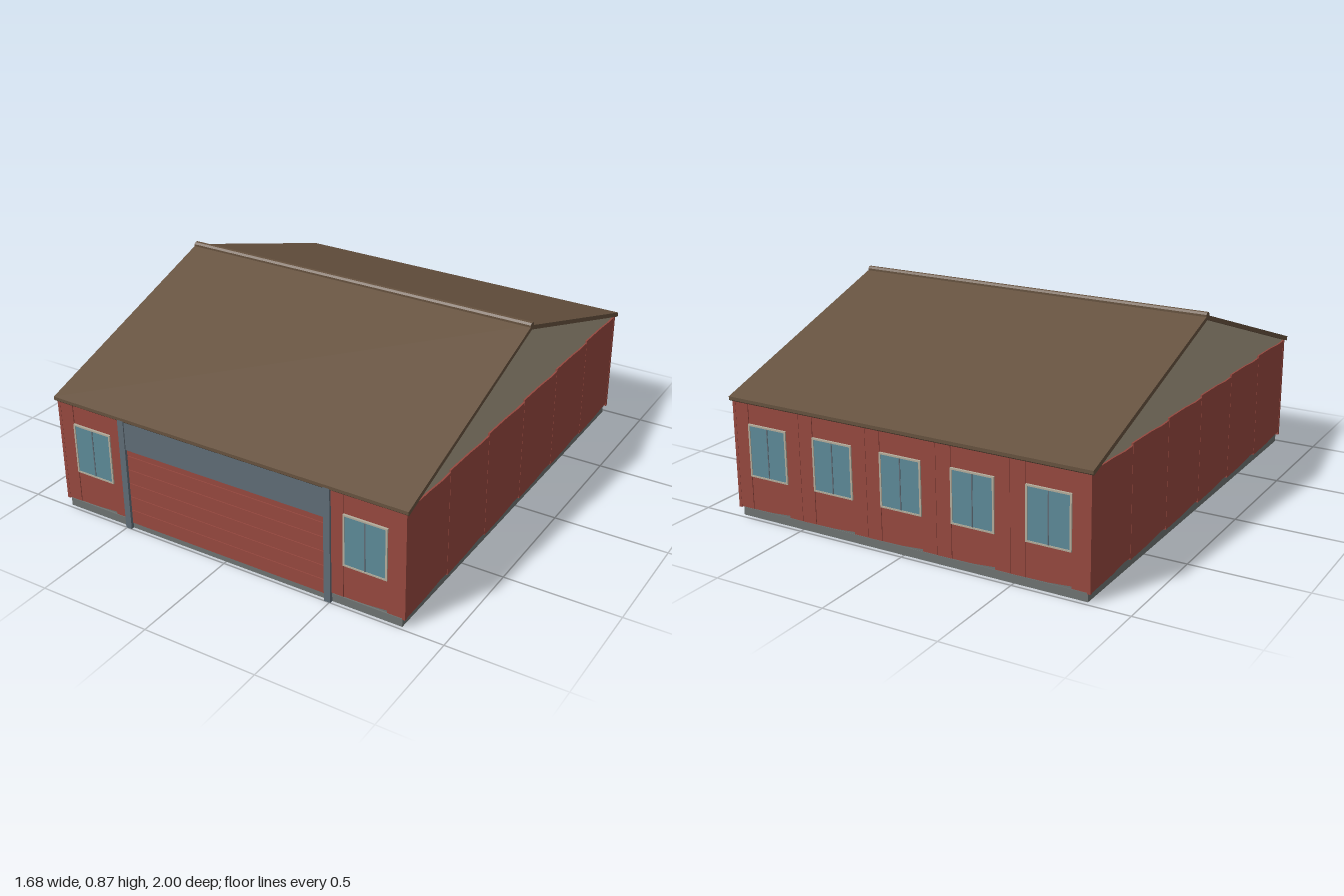
import * as THREE from 'three';

const material = (color) => new THREE.MeshStandardMaterial({ color, flatShading: true, side: THREE.DoubleSide });
const red = material(0x96483f);
const brown = material(0x66523f);
const beige = material(0xa89c84);
const grey = material(0x6e7371);
const slate = material(0x5f6c76);
const blue = material(0x5d8a98);
const cream = material(0xb4ad9c);

function add(parent, name, geometry, mat, x = 0, y = 0, z = 0) {
  const mesh = new THREE.Mesh(geometry, mat);
  mesh.name = name;
  mesh.position.set(x, y, z);
  parent.add(mesh);
  return mesh;
}

// Box given by its limits on each axis
function box(parent, name, mat, x0, x1, y0, y1, z0, z1) {
  const geometry = new THREE.BoxGeometry(x1 - x0, y1 - y0, z1 - z0);
  return add(parent, name, geometry, mat, (x0 + x1) / 2, (y0 + y1) / 2, (z0 + z1) / 2);
}

function shapeOf(points) {
  return new THREE.Shape(points.map(([x, y]) => new THREE.Vector2(x, y)));
}

// Extrude a (z, y) profile along x, centred on x = 0
function alongX(points, length) {
  return new THREE.ExtrudeGeometry(shapeOf(points), { depth: length, bevelEnabled: false })
    .translate(0, 0, -length / 2)
    .rotateY(Math.PI / 2);
}

// Cladding sheet with slightly uneven top and bottom edges, facing +z
function claddingPanel(parent, x, z, width, depth) {
  const h = width / 2 - 0.001;
  const points = [
    [-h, 0.04], [0, 0.043], [h * 0.7, 0.052], [h, 0.05],
    [h, 0.508], [h * 0.6, 0.507], [0, 0.514], [-h, 0.518],
  ];
  const geometry = new THREE.ExtrudeGeometry(shapeOf(points), { depth, bevelEnabled: false });
  return add(parent, 'wallPanel', geometry, red, x, 0, z);
}

// Two-pane window facing +z
function makeWindow(parent, x, z) {
  const g = new THREE.Group();
  g.name = 'window';
  g.position.set(x, 0, z);
  parent.add(g);
  for (const s of [-1, 1]) {
    box(g, 'windowJamb', cream, s * 0.0925 - 0.004, s * 0.0925 + 0.004, 0.19, 0.42, -0.004, 0.006);
    box(g, 'windowPane', blue, s * 0.0455 - 0.043, s * 0.0455 + 0.043, 0.197, 0.413, -0.004, 0.003);
  }
  box(g, 'windowSill', cream, -0.0965, 0.0965, 0.19, 0.197, -0.004, 0.006);
  box(g, 'windowHead', cream, -0.0965, 0.0965, 0.413, 0.42, -0.004, 0.006);
  box(g, 'windowMullion', slate, -0.0025, 0.0025, 0.197, 0.413, -0.004, 0.005);
}

// One bay of the front or back wall
function windowBay(parent, x) {
  claddingPanel(parent, x, 0.976, 0.33, 0.01);
  for (const s of [-1, 1]) {
    box(parent, 'wallStrip', red, x + s * 0.13 - 0.033, x + s * 0.13 + 0.033, 0.043, 0.507, 0.976, 0.99);
  }
  makeWindow(parent, x, 0.989);
}

export function createModel() {
  const model = new THREE.Group();
  model.name = 'garage';

  // Slab and wall core
  box(model, 'foundation', grey, -0.815, 0.815, 0, 0.036, -0.98, 0.985);
  box(model, 'wallBase', grey, -0.819, 0.819, 0.034, 0.1, -0.978, 0.978);
  box(model, 'wallCore', cream, -0.819, 0.819, 0.1, 0.515, -0.978, 0.978);

  // Gable prism under the roof
  add(model, 'gables', alongX([[-0.985, 0.505], [0.985, 0.505], [0.985, 0.515], [0, 0.848], [-0.985, 0.515]], 1.643), beige);

  // Side walls, six panels each
  for (const s of [-1, 1]) {
    const wall = new THREE.Group();
    wall.name = s > 0 ? 'leftWall' : 'rightWall';
    wall.rotation.y = s * Math.PI / 2;
    model.add(wall);
    for (let i = 0; i < 6; i++) claddingPanel(wall, -0.8175 + i * 0.327, 0.817, 0.327, 0.012);
  }

  // Corner trims
  for (const sx of [-1, 1]) {
    for (const sz of [-1, 1]) {
      const corner = new THREE.BoxGeometry(0.014, 0.472, 0.014);
      add(model, 'cornerTrim', corner, red, sx * 0.823, 0.274, sz * 0.984);
    }
  }

  // Front wall, a window bay on each side of the door
  const front = new THREE.Group();
  front.name = 'frontWall';
  model.add(front);
  for (const s of [-1, 1]) windowBay(front, s * 0.655);

  // Back wall, five window bays
  const back = new THREE.Group();
  back.name = 'backWall';
  back.rotation.y = Math.PI;
  model.add(back);
  for (let i = -2; i <= 2; i++) windowBay(back, i * 0.3275);

  // Garage door with its surround
  const door = new THREE.Group();
  door.name = 'garageDoor';
  model.add(door);
  for (const s of [-1, 1]) {
    box(door, 'doorPost', slate, s * 0.4905 - 0.0145, s * 0.4905 + 0.0145, 0, 0.515, 0.97, 1);
  }
  box(door, 'doorHeader', slate, -0.476, 0.476, 0.38, 0.52, 0.97, 0.995);
  box(door, 'doorBacking', slate, -0.476, 0.476, 0.02, 0.38, 0.97, 0.981);
  const joints = [0.025, 0.09, 0.155, 0.22, 0.285, 0.35, 0.381];
  for (let i = 0; i < 6; i++) {
    box(door, 'doorSlat', red, -0.475, 0.475, joints[i] + 0.0015, joints[i + 1] - 0.0015, 0.975, 0.989);
  }

  // Roof slopes and ridge cap
  add(model, 'roof', alongX([
    [-1, 0.513], [-0.995, 0.508], [0, 0.843], [0.995, 0.508], [1, 0.513], [1, 0.527], [0, 0.862], [-1, 0.527],
  ], 1.68), brown);
  add(model, 'ridgeCap', alongX([
    [-0.015, 0.85], [0.015, 0.85], [0.015, 0.866], [0.007, 0.874], [-0.007, 0.874], [-0.015, 0.866],
  ], 1.68), brown);

  return model;
}
